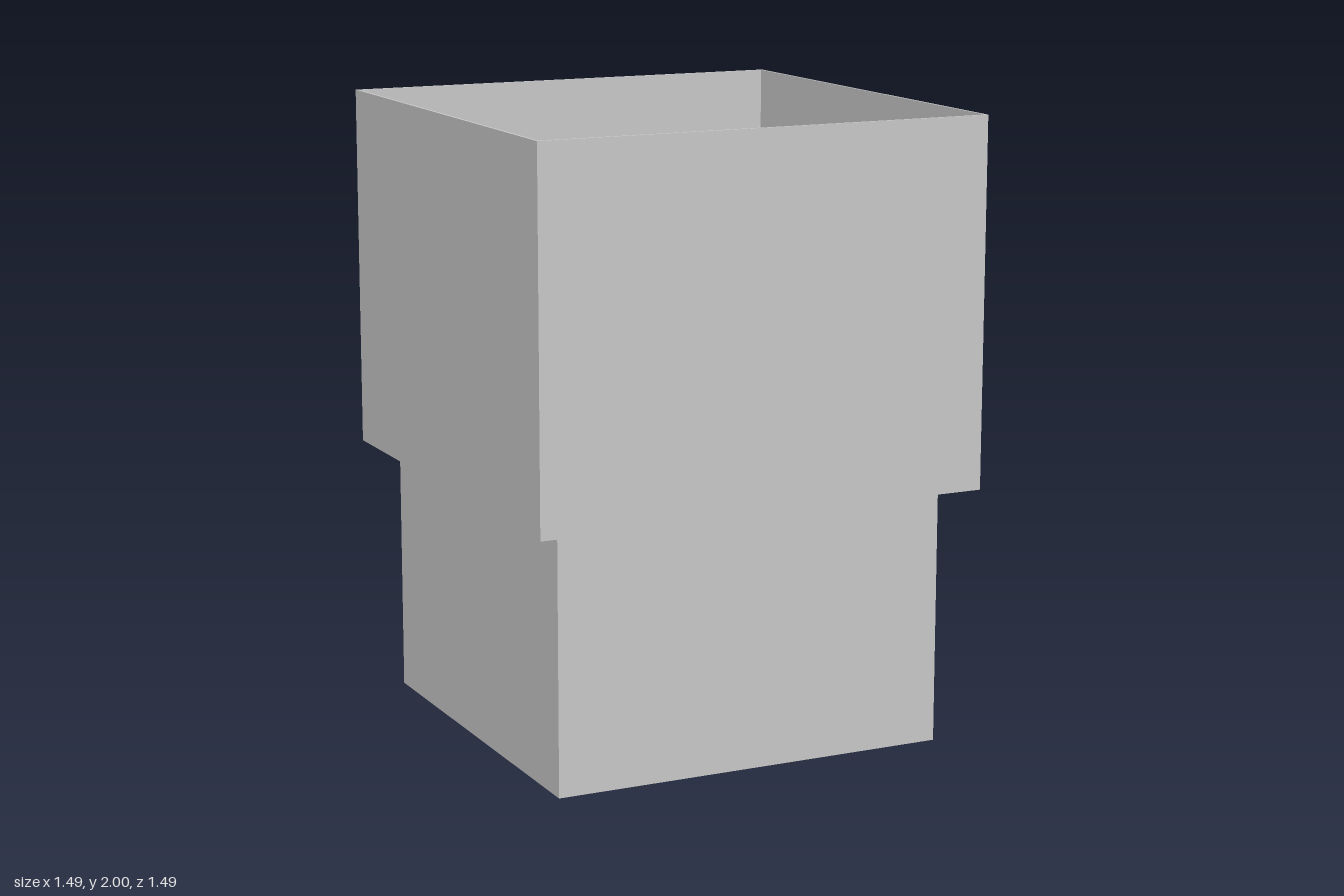
import * as THREE from 'three';

const material = new THREE.MeshStandardMaterial({ color: 0xcccccc, flatShading: true });

// Turns a [half width, height] profile into a square, four-sided shell
function squareShell(name, profile) {
  const points = profile.map(([half, y]) => new THREE.Vector2(half * Math.SQRT2, y));
  const geometry = new THREE.LatheGeometry(points, 4, Math.PI / 4).toNonIndexed();
  geometry.computeVertexNormals();
  const mesh = new THREE.Mesh(geometry, material);
  mesh.name = name;
  return mesh;
}

export function createModel() {
  const group = new THREE.Group();
  group.name = 'steppedSquareContainer';

  // Narrow lower box with a closed floor and thin walls
  group.add(squareShell('lowerBox', [
    [0, 0], [0.65, 0], [0.65, 0.83], [0.648, 0.838], [0.648, 0.008], [0, 0.008],
  ]));

  // Wide upper box, open at the top, with a ledge around the lower box
  group.add(squareShell('upperBox', [
    [0.65, 0.83], [0.745, 0.83], [0.745, 2], [0.737, 2], [0.737, 0.838], [0.648, 0.838],
  ]));

  return group;
}
